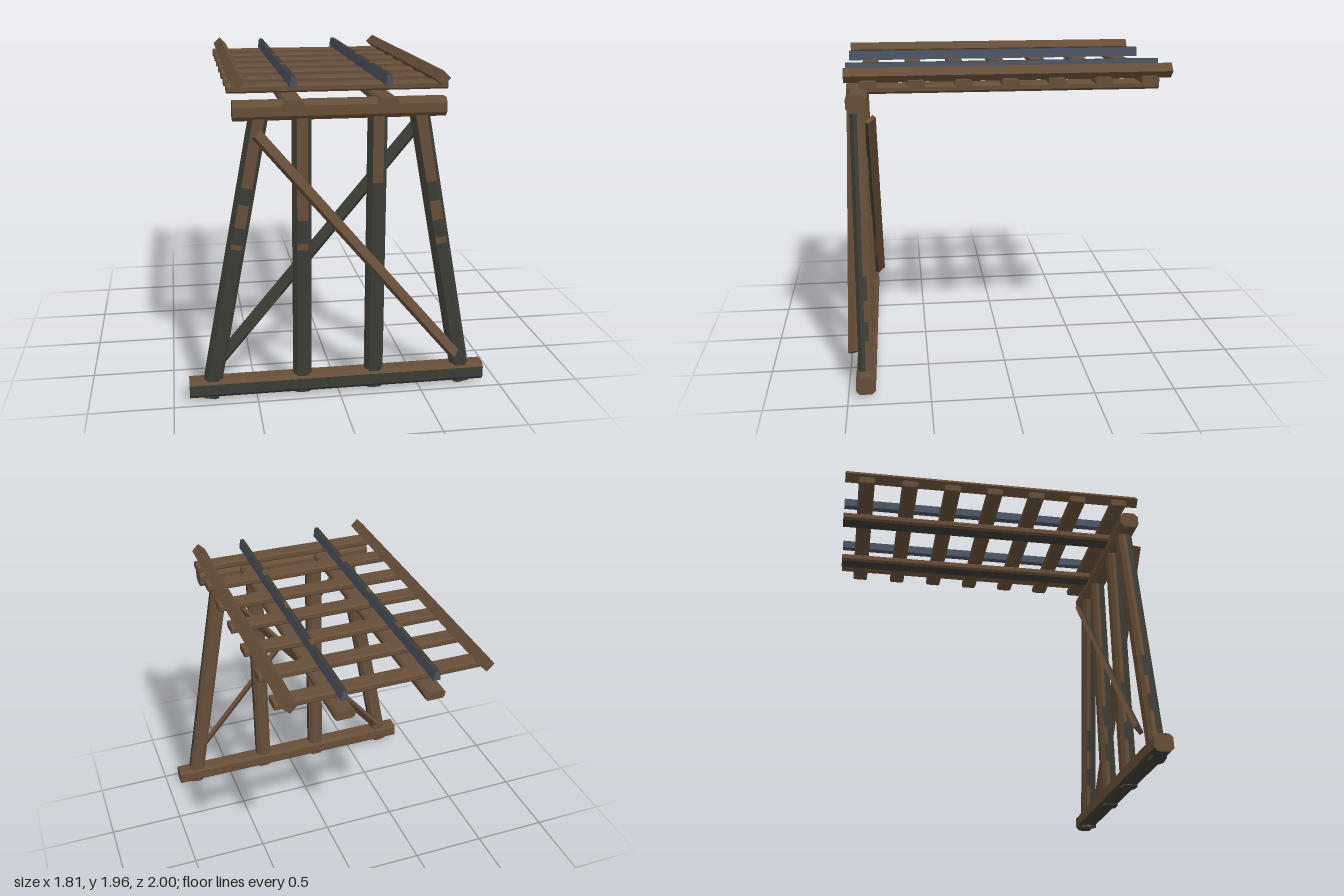
import * as THREE from 'three';

const wood = new THREE.MeshStandardMaterial({ color: 0x664e38 });
wood.name = 'brown wood';
const tar = new THREE.MeshStandardMaterial({ color: 0x3b3d35 });
tar.name = 'dark green stain';
const steel = new THREE.MeshStandardMaterial({ color: 0x4a5262 });
steel.name = 'blue grey steel';
const mats = [wood, tar, steel];
const WOOD = 0, TAR = 1, STEEL = 2;

// Chamfered rectangle, counter-clockwise; each side is split in the middle.
// Edges: 0 bottom, 1 chamfer, 2-3 right, 4 chamfer, 5 top, 6 chamfer, 7-8 left, 9 chamfer
function chamfered(w, h, c) {
  const x = w / 2, y = h / 2;
  return [[-x + c, -y], [x - c, -y], [x, -y + c], [x, 0], [x, y - c],
    [x - c, y], [-x + c, y], [-x, y - c], [-x, 0], [-x, -y + c]];
}

// Plain rectangle rolled about its centre
function rolled(w, h, angle) {
  const c = Math.cos(angle), s = Math.sin(angle);
  return [[-1, -1], [1, -1], [1, 1], [-1, 1]].map(([i, j]) => {
    const x = i * w / 2, y = j * h / 2;
    return [x * c - y * s, x * s + y * c];
  });
}

// Straight beam from p0 to p1. The section's second axis points along "up".
// paint(edge, distance) picks the colour; cuts are distances where it may change.
function beam(name, p0, p1, up, section, paint = () => WOOD, cuts = []) {
  const a = new THREE.Vector3(...p0), b = new THREE.Vector3(...p1);
  const d = b.clone().sub(a), len = d.length();
  d.normalize();
  const v = new THREE.Vector3(...up);
  v.addScaledVector(d, -v.dot(d)).normalize();
  const u = v.clone().cross(d);
  const at = ([x, y], t) => a.clone().addScaledVector(d, t).addScaledVector(u, x).addScaledVector(v, y);
  const stops = [0, ...cuts.filter((t) => t > 0 && t < len), len];
  const lists = mats.map(() => []);
  const tri = (m, ...pts) => pts.forEach((p) => lists[m].push(p.x, p.y, p.z));
  const n = section.length;
  for (let i = 0; i < n; i++) {
    const s0 = section[i], s1 = section[(i + 1) % n];
    for (let k = 0; k + 1 < stops.length; k++) {
      const m = paint(i, (stops[k] + stops[k + 1]) / 2);
      const q = [at(s0, stops[k]), at(s1, stops[k]), at(s1, stops[k + 1]), at(s0, stops[k + 1])];
      tri(m, q[0], q[1], q[2]);
      tri(m, q[0], q[2], q[3]);
    }
    const end = paint(-1, 0);
    tri(end, at([0, 0], 0), at(s1, 0), at(s0, 0));
    tri(end, at([0, 0], len), at(s0, len), at(s1, len));
  }
  const geo = new THREE.BufferGeometry();
  geo.setAttribute('position', new THREE.Float32BufferAttribute(lists.flat(), 3));
  let start = 0;
  lists.forEach((l, m) => {
    if (l.length) geo.addGroup(start, l.length / 3, m);
    start += l.length / 3;
  });
  geo.computeVertexNormals();
  const mesh = new THREE.Mesh(geo, mats);
  mesh.name = name;
  return mesh;
}

export function createModel() {
  const model = new THREE.Group();
  const bent = new THREE.Group(), deck = new THREE.Group();
  bent.name = 'trestleBent';
  deck.name = 'trackDeck';
  model.add(bent, deck);
  const zb = 0.892, Y = [0, 1, 0], Z = [0, 0, 1];

  // Bottom sill, stained on its front and underside; the cap beam is bare
  const lower = new Set([0, 1, 9, 7, 8]);
  bent.add(beam('bottomSill', [-0.905, 0.075, zb], [0.905, 0.075, zb], Y, chamfered(0.118, 0.11, 0.022),
    (e) => (lower.has(e) ? TAR : WOOD)));
  bent.add(beam('capBeam', [-0.612, 1.75, zb + 0.002], [0.612, 1.75, zb + 0.002], Y, chamfered(0.122, 0.108, 0.026)));

  // Posts: the front half is stained, with worn bare patches on the front face
  const postSection = chamfered(0.108, 0.092, 0.022);
  function post(name, x0, x1, y0, bare, patches) {
    const cuts = [...patches.flat(), bare, 0.3, 0.42, 0.55, 0.7].sort((p, q) => p - q);
    const paint = (e, t) => {
      const worn = t > bare || patches.some(([lo, hi]) => t > lo && t < hi);
      if (e === 5) return worn ? WOOD : TAR;
      if (e === 3 || e === 4 || e === 6 || e === 7) return TAR;
      if ((e === 2 || e === 8) && ((t > 0.3 && t < 0.42) || (t > 0.55 && t < 0.7))) return TAR;
      return e === -1 ? TAR : WOOD;
    };
    bent.add(beam(name, [x0, y0, zb], [x1, 1.72, zb], Z, postSection, paint, cuts));
  }
  post('innerPostRight', -0.22, -0.22, 0.014, 1.09, [[0.91, 0.95]]);
  post('innerPostLeft', 0.22, 0.22, 0.014, 1.3, []);
  post('outerPostRight', -0.783, -0.464, 0.012, 1.32, [[0.95, 0.98], [1.08, 1.22]]);
  post('outerPostLeft', 0.783, 0.464, 0.012, 1.32, [[0.93, 0.97], [1.08, 1.2]]);

  // Diagonal braces: thin planks rolled by 45 degrees
  const plank = rolled(0.068, 0.028, Math.PI / 4);
  bent.add(beam('frontBrace', [0.715, 0.215, 0.967], [-0.485, 1.63, 0.967], Z, plank));
  bent.add(beam('backBrace', [0.47, 1.63, 0.816], [-0.71, 0.215, 0.816], Z, plank,
    (e, t) => ((e === 2 || e === 1) && !(e === 1 && t > 1.3 && t < 1.6) ? TAR : WOOD), [1.3, 1.6]));

  // Cross ties
  for (let i = 0; i < 7; i++) {
    const z = 0.82 - i * 0.28;
    deck.add(beam('crossTie', [-0.638, 1.864, z], [0.638, 1.864, z], Y, chamfered(0.104, 0.045, 0.01)));
  }

  // Stringers, steel rails and guard timbers on each side
  const railSection = [[-0.022, -0.03], [0.022, -0.03], [0.013, 0.03], [-0.013, 0.03]];
  const railWear = [0.5, 0.56, 0.95, 1.02, 1.4, 1.47];
  for (const s of [-1, 1]) {
    deck.add(beam('stringer', [s * 0.27, 1.784, -1], [s * 0.27, 1.784, 0.96], Y, chamfered(0.12, 0.054, 0.014),
      (e) => (e === 0 ? TAR : WOOD)));
    deck.add(beam('steelRail', [s * 0.272, 1.914, -1], [s * 0.272, 1.914, 0.96], Y, railSection, (e, t) => {
      if (e !== 2) return STEEL;
      const k = railWear.filter((c) => c < t).length;
      return k % 2 ? WOOD : TAR;
    }, railWear));
    deck.add(beam('guardTimber', [s * 0.58, 1.916, -1], [s * 0.58, 1.916, 0.96], Y, rolled(0.063, 0.063, Math.PI / 4)));
  }
  return model;
}
